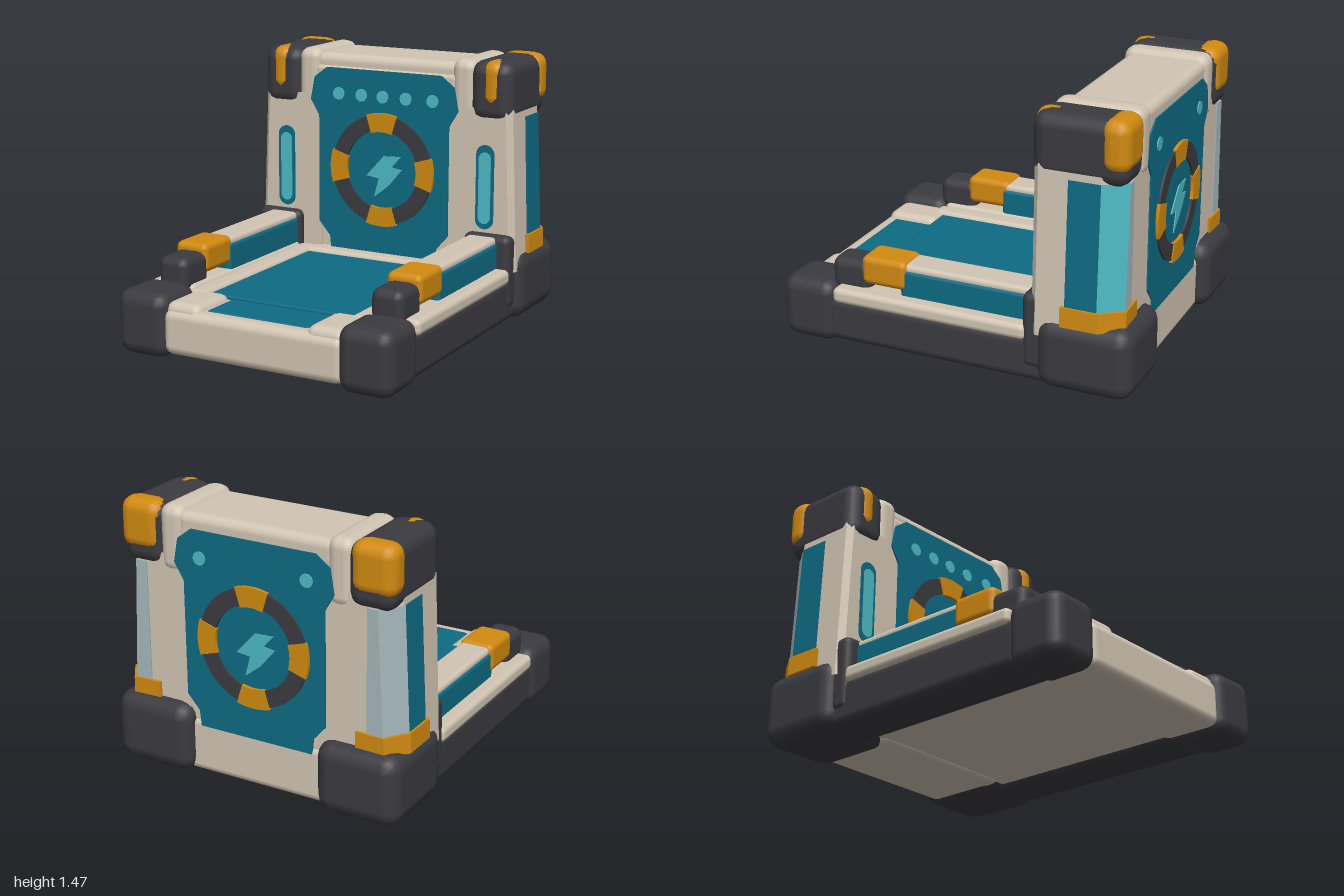
import * as THREE from 'three';
import { RoundedBoxGeometry } from 'three/addons/geometries/RoundedBoxGeometry.js';

const material = (name, color) => {
  const m = new THREE.MeshStandardMaterial({ color });
  m.name = name;
  return m;
};

export function createModel() {
  const root = new THREE.Group();
  root.name = 'platformWithWall';
  const cream = material('cream', 0xd2c6b4);
  const dark = material('charcoal', 0x3b3a40);
  const teal = material('teal', 0x0e6b83);
  const cyan = material('cyan', 0x4ebac4);
  const orange = material('orange', 0xd18a10);
  const pale = material('paleBlueGrey', 0xa6b8bd);

  const add = (name, geometry, mat) => {
    const mesh = new THREE.Mesh(geometry, mat);
    mesh.name = name;
    root.add(mesh);
    return mesh;
  };

  // Rounded block given by its extents on each axis
  const block = (name, mat, x0, x1, y0, y1, z0, z1, r = 0.03) => {
    const w = x1 - x0, h = y1 - y0, d = z1 - z0;
    const g = new RoundedBoxGeometry(w, h, d, 2, Math.min(r, w / 2.1, h / 2.1, d / 2.1));
    g.translate((x0 + x1) / 2, (y0 + y1) / 2, (z0 + z1) / 2);
    return add(name, g, mat);
  };
  // The same block on both sides
  const pair = (name, mat, x0, x1, ...rest) => {
    block(name + 'Left', mat, x0, x1, ...rest);
    block(name + 'Right', mat, -x1, -x0, ...rest);
  };

  // Upright prism from an (x, z) section on side s, flaring outwards at its foot
  const prism = (name, mat, s, section, y0, y1) => {
    const shape = new THREE.Shape(section.map(([x, z]) => new THREE.Vector2(s * x, -z)));
    const g = new THREE.ExtrudeGeometry(shape, { depth: y1 - y0, bevelEnabled: false });
    g.rotateX(-Math.PI / 2).translate(0, y0, 0);
    const p = g.attributes.position;
    for (let i = 0; i < p.count; i++) {
      if (Math.abs(p.getX(i)) > 0.65) {
        p.setX(i, p.getX(i) + s * 0.035 * THREE.MathUtils.clamp((1.15 - p.getY(i)) / 0.75, 0, 1));
      }
    }
    g.computeVertexNormals();
    add(name, g, mat);
  };

  // Flat plate on the wall; dir 1 faces the front, -1 the back
  const plate = (name, mat, shape, z, dir, depth = 0.008) => {
    const g = new THREE.ExtrudeGeometry(shape, { depth, bevelEnabled: false, curveSegments: 10 });
    if (dir < 0) g.rotateY(Math.PI);
    g.translate(0, 0, z);
    return add(name, g, mat);
  };
  const polygon = (pts) => new THREE.Shape(pts.map(([x, y]) => new THREE.Vector2(x, y)));
  const disc = (x, y, r) => {
    const s = new THREE.Shape();
    s.absarc(x, y, r, 0, Math.PI * 2);
    return s;
  };
  const capsule = (x, y0, y1, r) => {
    const s = new THREE.Shape();
    s.absarc(x, y1 - r, r, 0, Math.PI);
    s.absarc(x, y0 + r, r, Math.PI, Math.PI * 2);
    s.closePath();
    return s;
  };

  // Base: floor, rim and front beam
  block('floor', cream, -0.55, 0.55, 0.05, 0.275, -0.5, 0.72);
  pair('floorRim', cream, 0.43, 0.54, 0.15, 0.315, -0.46, 0.72);
  block('rearRim', cream, -0.46, 0.46, 0.15, 0.315, -0.47, -0.355);
  block('floorPad', teal, -0.44, 0.44, 0.2, 0.295, -0.36, 0.665, 0.012);
  block('frontBeam', cream, -0.53, 0.53, 0.03, 0.275, 0.64, 0.98, 0.05);
  pair('frontBeamShoulder', cream, 0.31, 0.53, 0.06, 0.31, 0.65, 0.96, 0.05);
  block('frontStep', teal, -0.3, 0.3, 0.2, 0.281, 0.66, 0.9, 0.01);

  // Side rails, armrests and feet
  pair('sideRail', dark, 0.5, 0.79, 0.02, 0.27, -0.55, 0.74, 0.05);
  pair('railLedge', cream, 0.52, 0.805, 0.245, 0.33, -0.42, 0.69, 0.03);
  pair('armrest', teal, 0.535, 0.73, 0.28, 0.47, -0.42, 0.32, 0.02);
  pair('armrestTop', cream, 0.545, 0.72, 0.445, 0.5, -0.43, 0.32, 0.025);
  pair('armrestCap', orange, 0.54, 0.74, 0.355, 0.515, 0.28, 0.545, 0.035);
  pair('armrestEnd', dark, 0.545, 0.73, 0.29, 0.475, 0.5, 0.73, 0.05);
  pair('frontFoot', dark, 0.5, 0.81, 0, 0.35, 0.68, 1, 0.075);
  pair('rearFoot', dark, 0.37, 0.84, 0.015, 0.405, -1, -0.48, 0.09);
  pair('rearFootCollar', dark, 0.52, 0.8, 0.1, 0.51, -0.53, -0.4, 0.04);

  // Wall core and beams
  block('wallCore', cream, -0.45, 0.45, 0.1, 1.37, -0.915, -0.46);
  block('wallTopBeam', cream, -0.46, 0.46, 1.25, 1.435, -0.915, -0.475, 0.05);
  block('wallBottomBeam', cream, -0.45, 0.45, 0.03, 0.33, -0.93, -0.45, 0.04);
  pair('topCollar', cream, 0.41, 0.56, 1.1, 1.46, -0.93, -0.45, 0.06);

  // Pillars with side strips, ankle bands and corner caps
  for (const s of [1, -1]) {
    const side = s > 0 ? 'Left' : 'Right';
    prism('pillar' + side, cream, s, [[0.4, -0.92], [0.7, -0.92], [0.775, -0.81],
      [0.775, -0.48], [0.745, -0.45], [0.4, -0.45]], 0.3, 1.2);
    prism('pillarSideStrip' + side, teal, s, [[0.74, -0.81], [0.783, -0.81], [0.783, -0.64], [0.74, -0.64]], 0.4, 1.14);
    prism('pillarCornerStrip' + side, s > 0 ? cyan : pale, s, [[0.69, -0.9], [0.7, -0.93], [0.783, -0.81], [0.74, -0.81]], 0.4, 1.14);
    prism('pillarEdgeStrip' + side, pale, s, [[0.64, -0.9], [0.64, -0.927], [0.7, -0.93], [0.69, -0.9]], 0.4, 1.14);
    prism('ankleBand' + side, orange, s, [[0.58, -0.935], [0.71, -0.94], [0.795, -0.82],
      [0.795, -0.62], [0.6, -0.62]], 0.38, 0.485);
    // Lit slot on the pillar front
    plate('slotFrame' + side, teal, capsule(s * 0.63, 0.53, 1.0, 0.053), -0.451, 1);
    plate('slotLight' + side, cyan, capsule(s * 0.63, 0.56, 0.96, 0.036), -0.447, 1);
  }
  pair('cornerCap', dark, 0.525, 0.78, 1.12, 1.46, -0.94, -0.435, 0.075);
  pair('capFrontPatch', orange, 0.595, 0.73, 1.2, 1.463, -0.6, -0.428, 0.07);
  pair('capBackPatch', orange, 0.54, 0.792, 1.19, 1.467, -0.948, -0.79, 0.07);

  // Wall panels with ring, emblem and lamps, front and back
  const half = [[0.33, 0.28], [0.34, 0.38], [0.41, 0.46], [0.41, 1.08], [0.465, 1.17], [0.44, 1.3], [0.36, 1.36]];
  const panel = polygon([...half, ...half.map(([x, y]) => [-x, y]).reverse()]);
  const bolt = polygon([[0.12, 0.885], [0.01, 0.88], [-0.1, 0.76], [-0.02, 0.75], [-0.05, 0.64],
    [0.04, 0.71], [0.125, 0.81], [0.06, 0.82]]);
  for (const dir of [1, -1]) {
    const face = dir > 0 ? 'Front' : 'Back';
    const z = dir > 0 ? -0.449 : -0.921;
    plate('panel' + face, teal, panel, z, dir);
    plate('bolt' + face, cyan, bolt, z + dir * 0.006, dir);
    // Ring of alternating wide dark and narrow orange arcs
    for (let i = 0; i < 8; i++) {
      const accent = i % 2 === 0;
      const mid = i * Math.PI / 4;
      const span = accent ? 0.3 : Math.PI / 4 - 0.3;
      const [inner, outer] = accent ? [0.218, 0.325] : [0.225, 0.315];
      const arc = new THREE.Shape();
      arc.absarc(0, 0.8, outer, mid - span, mid + span, false);
      arc.absarc(0, 0.8, inner, mid + span, mid - span, true);
      arc.closePath();
      plate((accent ? 'ringAccent' : 'ringSegment') + face + i, accent ? orange : dark,
        arc, z, dir, accent ? 0.026 : 0.02);
    }
    const lamps = dir > 0 ? [-0.28, -0.135, 0, 0.145, 0.31] : [-0.31, 0.31];
    lamps.forEach((x, i) => plate('lamp' + face + i, cyan, disc(x, 1.215, 0.036), z + dir * 0.006, dir));
  }
  return root;
}
